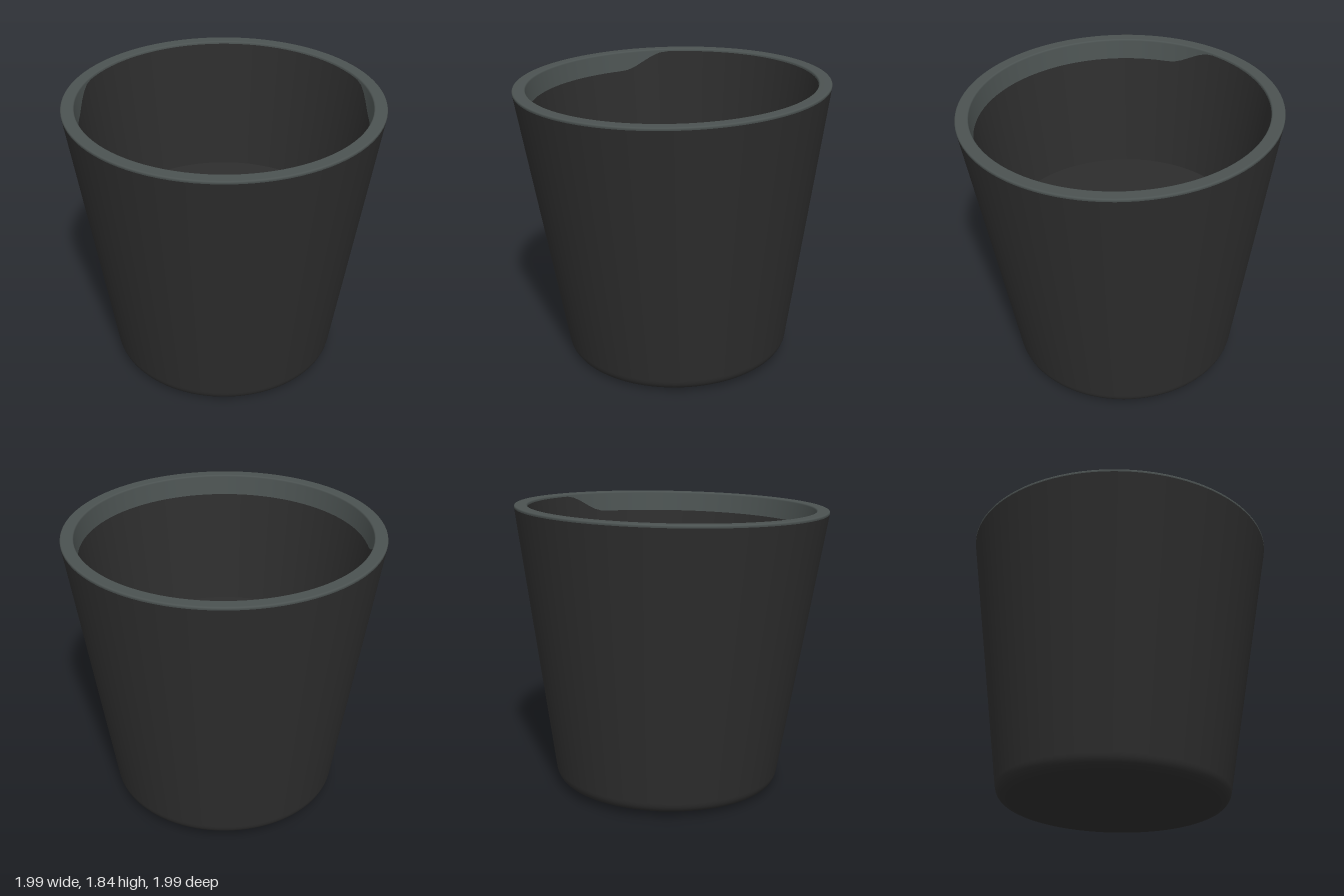
import * as THREE from 'three';

const SEGMENTS = 96;
const RIM_Y = 1.803;      // rim height along the cup axis
const INNER_R = 0.915;    // inside radius just under the rim
const SLOPE = 0.142;      // inward lean of the inside wall
const innerRadius = (y) => INNER_R - (RIM_Y - y) * SLOPE;

// Profile through [x, y] corners, each rounded by its third value
function profile(corners) {
  const points = [];
  corners.forEach(([x, y, r = 0], i) => {
    const c = new THREE.Vector2(x, y);
    if (!r) return points.push(c);
    const toward = ([px, py]) =>
      c.clone().add(new THREE.Vector2(px - x, py - y).setLength(r));
    points.push(...new THREE.QuadraticBezierCurve(
      toward(corners[i - 1]), c, toward(corners[i + 1])).getPoints(7));
  });
  return points;
}

// The pale inside band is deep around the front and fades out at the back
function bandDepth(x, z) {
  const angle = Math.atan2(x, z);
  const end = angle < 0 ? 1.95 : 1.9;
  return 0.004 + 0.115 * (1 - THREE.MathUtils.smoothstep(Math.abs(angle), end - 0.35, end));
}

// Moves the vertices at height y onto the lower edge of the band
function followBand(geometry, y) {
  const p = geometry.attributes.position;
  for (let i = 0; i < p.count; i++) {
    if (Math.abs(p.getY(i) - y) > 1e-5) continue;
    const newY = RIM_Y - 0.012 - bandDepth(p.getX(i), p.getZ(i));
    const scale = innerRadius(newY) / Math.hypot(p.getX(i), p.getZ(i));
    p.setXYZ(i, p.getX(i) * scale, newY, p.getZ(i) * scale);
  }
  return geometry;
}

export function createModel() {
  const charcoal = new THREE.MeshStandardMaterial({ color: 0x2d2d2d });
  charcoal.name = 'charcoal';
  const slateGrey = new THREE.MeshStandardMaterial({ color: 0x4b5251 });
  slateGrey.name = 'slate grey';

  const cup = new THREE.Group();
  cup.name = 'cup';
  const add = (name, geometry, material) => {
    const mesh = new THREE.Mesh(geometry, material);
    mesh.name = name;
    cup.add(mesh);
  };
  const lathe = (corners) => new THREE.LatheGeometry(profile(corners), SEGMENTS);

  // Base and tapered outside wall
  add('outerShell', lathe([
    [0, 0], [0.727, 0, 0.075], [0.995, RIM_Y - 0.018],
  ]), charcoal);

  // Softly rounded lip
  add('rim', lathe([
    [0.995, RIM_Y - 0.018], [0.998, RIM_Y, 0.014],
    [INNER_R, RIM_Y, 0.01], [innerRadius(RIM_Y - 0.012), RIM_Y - 0.012],
  ]), slateGrey);

  // Pale band inside the lip
  const edgeY = RIM_Y - 0.1;
  add('innerBand', followBand(lathe([
    [innerRadius(RIM_Y - 0.012), RIM_Y - 0.012], [innerRadius(edgeY), edgeY],
  ]), edgeY), slateGrey);

  // Inside wall below the band
  const floorY = 0.92;
  add('innerWall', followBand(lathe([
    [innerRadius(edgeY), edgeY], [innerRadius(floorY), floorY],
  ]), edgeY), charcoal);

  // Raised inside floor
  const floor = new THREE.CircleGeometry(innerRadius(floorY), SEGMENTS);
  floor.rotateX(-Math.PI / 2).translate(0, floorY, 0);
  add('innerFloor', floor, charcoal);

  // The whole cup leans slightly forward
  cup.rotation.x = 0.025;
  cup.position.set(0, 0.018, -0.045);

  const model = new THREE.Group();
  model.name = 'taperedCup';
  model.add(cup);
  return model;
}
